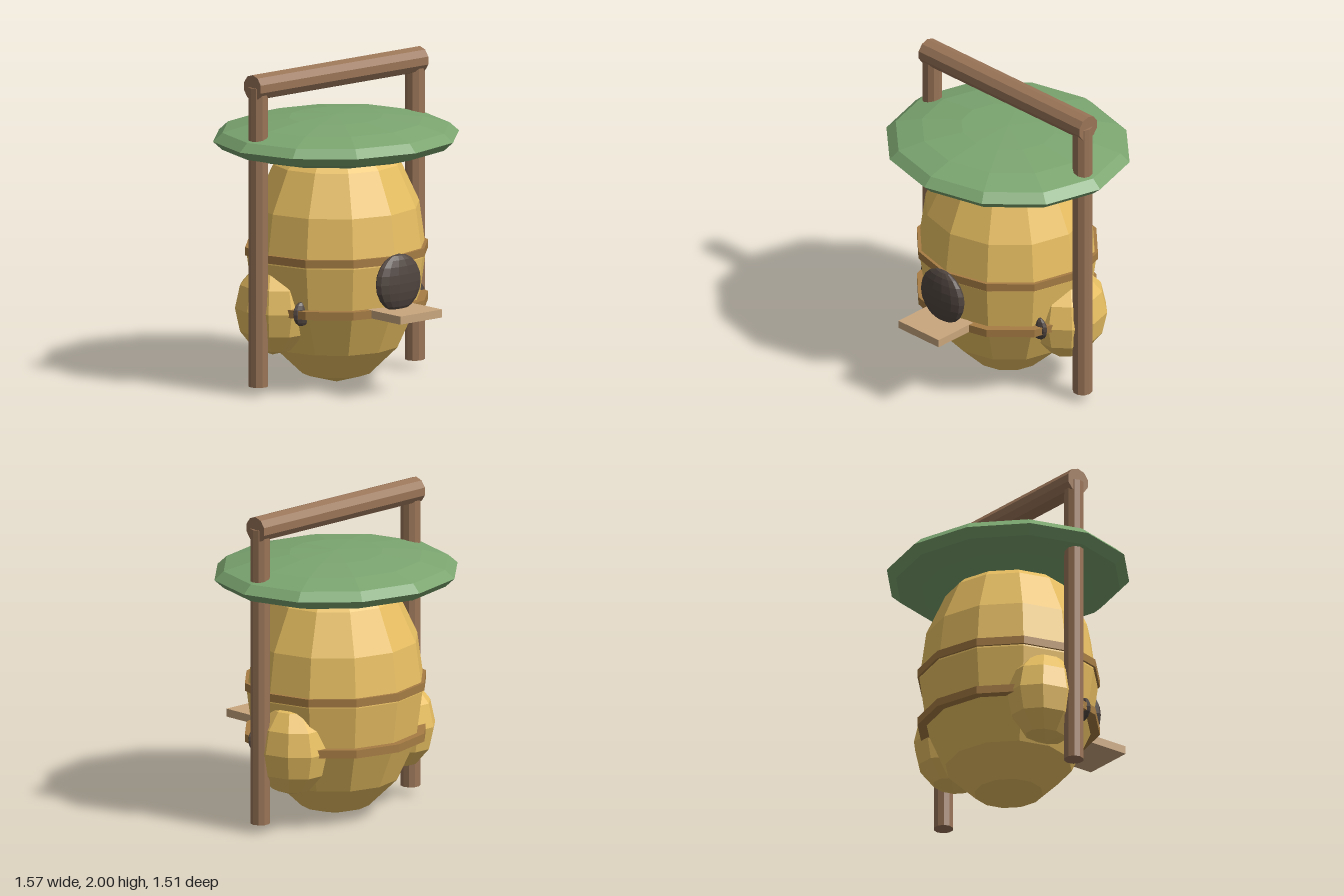
import * as THREE from 'three';

const mat = (color) => new THREE.MeshStandardMaterial({ color, flatShading: true });

export function createModel() {
  const model = new THREE.Group();
  const CZ = -0.02; // depth of the main axis
  const honey = mat(0xe8bf62), green = mat(0x7ba570), wood = mat(0x9a7558);
  const dark = mat(0x50453f), strap = mat(0xa67c43), plank = mat(0xc9a67d);

  const add = (name, geometry, material, x, y, z) => {
    const mesh = new THREE.Mesh(geometry, material);
    mesh.name = name;
    mesh.position.set(x, y, z);
    model.add(mesh);
    return mesh;
  };
  // faceted ellipsoid with half sizes rx, ry, rz
  const ellipsoid = (rx, ry, rz, w, h) => new THREE.SphereGeometry(1, w, h).scale(rx, ry, rz);
  // ten-sided pole with a corner pointing along x
  const pole = (r, len) => new THREE.CylinderGeometry(r, r, len, 10, 1, false, Math.PI / 2);

  // hive body and leafy roof
  add('hiveBody', ellipsoid(0.565, 0.8, 0.543, 12, 8), honey, 0, 0.805, CZ);
  add('roof', ellipsoid(0.785, 0.138, 0.73, 12, 8), green, 0, 1.53, -0.025);

  // straps around the body
  for (const [name, y] of [['upperBand', 0.84], ['lowerBand', 0.518]]) {
    const band = new THREE.CylinderGeometry(1, 1, 0.05, 12).scale(0.578, 1, 0.555);
    add(name, band, strap, 0, y, CZ);
  }

  // entrance and landing board
  add('entrance', ellipsoid(0.18, 0.178, 0.056, 14, 10), dark, 0, 0.705, 0.545);
  add('landingBoard', new THREE.BoxGeometry(0.342, 0.05, 0.3), plank, 0, 0.52, 0.606);

  // side pods with their small entrances, and the posts
  for (const [side, s] of [['left', 1], ['right', -1]]) {
    add(side + 'Pod', ellipsoid(0.212, 0.288, 0.262, 10, 6), honey, s * 0.455, 0.51, -0.095);
    add(side + 'PodEntrance', ellipsoid(0.072, 0.077, 0.028, 10, 8), dark, s * 0.466, 0.518, 0.187);
    add(side + 'Post', pole(0.061, 1.86), wood, s * 0.64, 0.99, CZ);
  }

  // crossbar
  add('crossbar', pole(0.08, 1.37).rotateZ(Math.PI / 2), wood, 0, 1.92, CZ - 0.003);

  return model;
}
